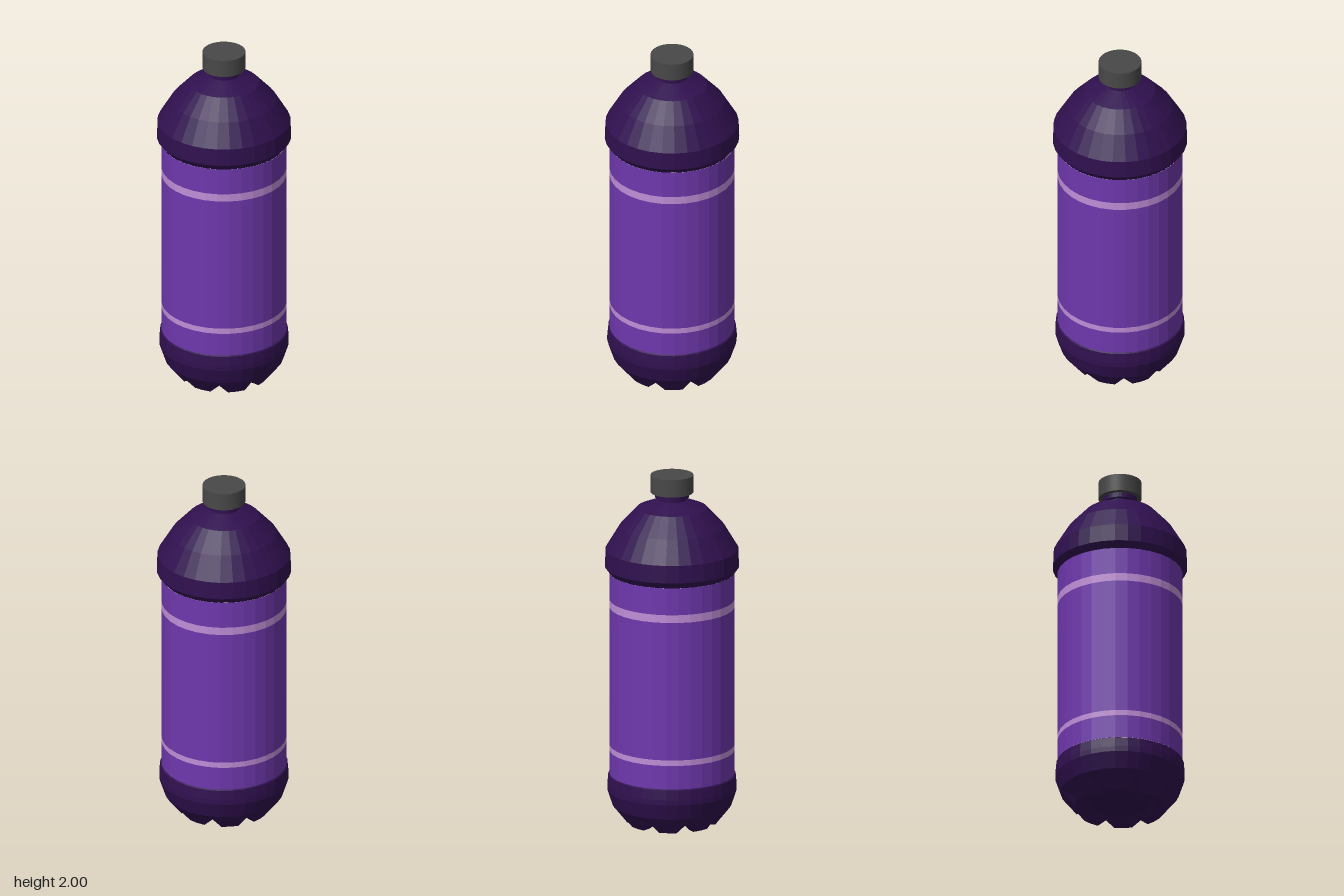
import * as THREE from 'three';

const SIDES = 32;

function material(name, color, flatShading = true) {
  const m = new THREE.MeshStandardMaterial({ color, flatShading });
  m.name = name;
  return m;
}

// Turned shell from [radius, height] points, listed bottom to top
function lathe(points, sides = SIDES) {
  return new THREE.LatheGeometry(points.map(([r, y]) => new THREE.Vector2(r, y)), sides);
}

export function createModel() {
  const bottle = new THREE.Group();
  bottle.name = 'bottle';
  const dark = material('dark purple plastic', 0x30104f);
  const purple = material('purple label', 0x6f38ae);
  const lilac = material('lilac stripe', 0xc08ed8);
  const grey = material('grey cap', 0x484848, false);

  const add = (name, geometry, mat) => {
    const mesh = new THREE.Mesh(geometry, mat);
    mesh.name = name;
    bottle.add(mesh);
    return mesh;
  };

  // Base: recessed floor, ring of eight feet, rounded flank
  const baseProfile = [
    [0, 0.03], [0.16, 0.03], [0.2, 0], [0.25, 0], [0.33, 0.1],
    [0.36, 0.19], [0.36, 0.22], [0.355, 0.275], [0.347, 0.28],
  ];
  const base = lathe(baseProfile);
  const pos = base.attributes.position;
  for (let i = 0; i <= SIDES; i += 4) {
    // Lift the sole to cut a notch between neighbouring feet
    for (const j of [2, 3]) pos.setY(i * baseProfile.length + j, 0.042);
  }
  add('base', base, dark);

  // Label: stacked bands with two stripes
  const levels = [0.28, 0.415, 0.447, 1.24, 1.285, 1.44];
  const names = ['labelBottom', 'lowerStripe', 'labelMiddle', 'upperStripe', 'labelTop'];
  names.forEach((name, i) => {
    add(name, lathe([[0.348, levels[i]], [0.348, levels[i + 1]]]), i % 2 ? lilac : purple);
  });

  // Collar and domed shoulder
  add('shoulder', lathe([
    [0.347, 1.44], [0.374, 1.475], [0.37, 1.575], [0.292, 1.705], [0.195, 1.81], [0.08, 1.857],
  ]), dark);

  // Neck with a bead below the cap
  add('neck', lathe([[0.08, 1.85], [0.08, 1.868], [0.094, 1.872], [0.094, 1.905]]), dark);

  // Screw cap
  const cap = add('cap', new THREE.CylinderGeometry(0.119, 0.119, 0.1, 64), grey);
  cap.position.y = 1.95;

  return bottle;
}
